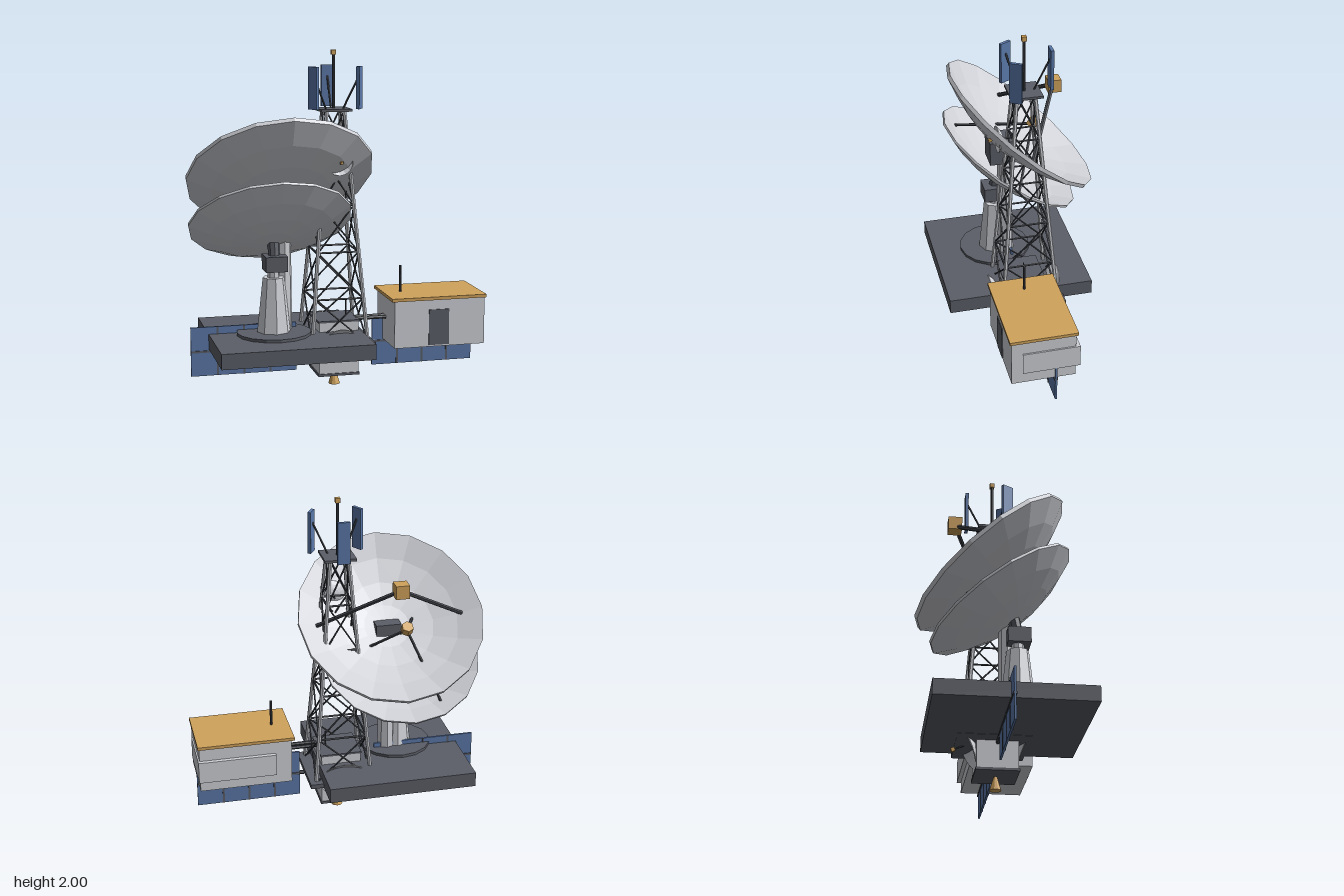
import * as THREE from 'three';

const material = (name, color) => {
  const m = new THREE.MeshStandardMaterial({ color });
  m.name = name;
  return m;
};

export function createModel() {
  const model = new THREE.Group();
  model.name = 'communicationsStation';
  const white = material('pale grey paint', 0xd0d2d8);
  const dark = material('dark grey metal', 0x5b5e67);
  const steel = material('strut steel', 0x44474e);
  const gold = material('gold', 0xd0a35c);
  const blue = material('panel blue', 0x5a78a8);
  const V = (x, y, z) => new THREE.Vector3(x, y, z);

  // Faceted mesh helper
  const add = (name, geo, mat, parent = model) => {
    const g = geo.index ? geo.toNonIndexed() : geo;
    g.computeVertexNormals();
    const mesh = new THREE.Mesh(g, mat);
    mesh.name = name;
    parent.add(mesh);
    return mesh;
  };
  // Box from its minimum and maximum on each axis
  const box = (name, x0, x1, y0, y1, z0, z1, mat, parent) => {
    const mesh = add(name, new THREE.BoxGeometry(x1 - x0, y1 - y0, z1 - z0), mat, parent);
    mesh.position.set((x0 + x1) / 2, (y0 + y1) / 2, (z0 + z1) / 2);
    return mesh;
  };
  // Round bar between two points
  const bar = (name, a, b, r, mat, parent, sides = 6) => {
    const d = b.clone().sub(a);
    const mesh = add(name, new THREE.CylinderGeometry(r, r, d.length(), sides), mat, parent);
    mesh.position.copy(a).add(b).multiplyScalar(0.5);
    mesh.quaternion.setFromUnitVectors(V(0, 1, 0), d.normalize());
    return mesh;
  };
  const post = (name, x, z, y0, y1, rBottom, rTop, sides, mat) => {
    const mesh = add(name, new THREE.CylinderGeometry(rTop, rBottom, y1 - y0, sides), mat);
    mesh.position.set(x, (y0 + y1) / 2, z);
    return mesh;
  };
  // Parabolic bowl, rim centre at the origin, opening along its own +y
  const dish = (name, R, depth, thick, sides, tilt, x, y, z) => {
    const g = new THREE.Group();
    g.name = name;
    const n = 4, pts = [];
    const curve = (r) => depth * ((r / R) ** 2 - 1);
    for (let i = 0; i <= n; i++) pts.push(new THREE.Vector2(R * i / n, curve(R * i / n) - thick));
    for (let i = n; i >= 0; i--) pts.push(new THREE.Vector2(R * i / n, curve(R * i / n)));
    add(name + 'Bowl', new THREE.LatheGeometry(pts, sides), white, g);
    g.rotation.x = tilt;
    g.position.set(x, y, z);
    model.add(g);
    g.userData.curve = curve;
    return g;
  };
  const feedArms = (g, R, angles, height, r) => {
    for (const a of angles) {
      const e = R * 0.79;
      bar('feedArm', V(0, height, 0), V(e * Math.cos(a), g.userData.curve(e), e * Math.sin(a)), r, steel, g);
    }
  };

  // Foundation slab
  box('foundationSlab', -0.76, 0.133, 0.26, 0.35, -0.4, 0.49, dark);
  box('towerBasePlate', -0.21, 0.21, 0.258, 0.285, -0.215, 0.205, dark);

  // Upper large dish with cube feed
  const upper = dish('upperDish', 0.557, 0.16, 0.025, 16, -0.71, -0.312, 1.28, -0.057);
  feedArms(upper, 0.557, [0, Math.PI], 0.3, 0.013);
  const cube = add('upperFeed', new THREE.BoxGeometry(0.08, 0.08, 0.08), gold, upper);
  cube.position.y = 0.305;
  cube.rotation.x = 0.71;
  post('upperDishColumn', -0.315, 0.047, 0.35, 1.06, 0.052, 0.045, 8, white);
  box('upperDishMount', -0.39, -0.237, 1.04, 1.19, -0.005, 0.15, dark);

  // Lower large dish with hexagonal feed on a tripod
  const lower = dish('lowerDish', 0.485, 0.14, 0.015, 16, -0.615, -0.382, 1.01, 0);
  feedArms(lower, 0.485, [0, 2 * Math.PI / 3, 4 * Math.PI / 3], 0.25, 0.009);
  add('lowerFeed', new THREE.CylinderGeometry(0.036, 0.036, 0.05, 6), gold, lower).position.y = 0.26;
  post('pedestalDisc', -0.385, 0.1, 0.35, 0.367, 0.22, 0.22, 16, dark);
  post('pedestal', -0.385, 0.1, 0.36, 0.69, 0.1, 0.064, 8, white);
  post('pedestalNeck', -0.385, 0.1, 0.68, 0.75, 0.035, 0.035, 8, white);
  box('lowerDishMount', -0.442, -0.312, 0.73, 0.82, 0.04, 0.172, dark);
  bar('mountLink', V(-0.38, 0.79, 0.1), V(-0.38, 0.89, 0.08), 0.035, dark, model, 8);

  // Lattice tower
  const tower = new THREE.Group();
  tower.name = 'latticeTower';
  model.add(tower);
  const y0 = 0.27, y1 = 1.65, bays = 5;
  const corner = (i, y) => {
    const s = 0.17 - 0.117 * (y - y0) / (y1 - y0);
    return V([1, 1, -1, -1][i % 4] * s, y, [1, -1, -1, 1][i % 4] * s);
  };
  for (let i = 0; i < 4; i++) {
    bar('towerLeg', corner(i, y0), corner(i, y1), 0.012, white, tower);
    for (let b = 0; b < bays; b++) {
      const lo = y0 + (y1 - y0) * b / bays, hi = y0 + (y1 - y0) * (b + 1) / bays;
      bar('towerBrace', corner(i, lo), corner(i + 1, hi), 0.005, steel, tower);
      bar('towerBrace', corner(i + 1, lo), corner(i, hi), 0.005, steel, tower);
      bar('towerRail', corner(i, hi), corner(i + 1, hi), 0.006, steel, tower);
    }
  }
  box('towerPlatform', -0.093, 0.093, 1.645, 1.66, -0.093, 0.093, dark);
  post('mast', 0, 0, 1.66, 1.975, 0.009, 0.009, 8, steel);
  box('mastBeacon', -0.014, 0.014, 1.972, 2, -0.014, 0.014, gold);

  // Three sector antennas around the mast
  for (let i = 0; i < 3; i++) {
    const g = new THREE.Group();
    g.name = 'sectorAntenna';
    g.rotation.y = Math.PI + i * 2 * Math.PI / 3;
    box('antennaPanel', -0.036, 0.036, 1.66, 1.907, 0.148, 0.167, blue, g);
    bar('antennaStrut', V(0, 1.66, 0.06), V(0, 1.84, 0.15), 0.006, steel, g);
    model.add(g);
  }

  // Small dish on the tower
  dish('towerDish', 0.08, 0.035, 0.005, 14, Math.PI / 2, 0, 1.36, 0.162);
  bar('towerDishBracket', V(0, 1.36, 0.07), V(0, 1.36, 0.195), 0.006, steel);
  box('towerDishFeed', -0.008, 0.008, 1.352, 1.368, 0.19, 0.212, gold);

  // Satellite body under the slab
  box('satelliteBody', -0.12, 0.12, 0.09, 0.41, -0.1, 0.14, white);
  box('satelliteBottomPlate', -0.126, 0.126, 0.08, 0.095, -0.106, 0.146, dark);
  box('satelliteTopPlate', -0.126, 0.126, 0.405, 0.416, -0.106, 0.146, dark);
  post('thruster', 0, 0.02, 0, 0.082, 0.035, 0.01, 10, gold);
  post('whipAntenna', 0.072, 0.02, 0.41, 0.515, 0.004, 0.004, 6, steel);
  const back = dish('satelliteDish', 0.145, 0.05, 0.006, 16, -2.0, 0, 0.265, -0.155);
  bar('satelliteFeedArm', V(0, -0.05, 0), V(0, 0.07, 0), 0.005, steel, back);
  add('satelliteFeed', new THREE.BoxGeometry(0.022, 0.022, 0.022), gold, back).position.y = 0.075;
  dish('frontSatelliteDish', 0.1, 0.035, 0.005, 16, 1.9, 0, 0.285, 0.19);

  // Solar wings
  for (const s of [-1, 1]) {
    const wing = new THREE.Group();
    wing.name = 'solarWing';
    wing.position.set(s * 0.55, 0.247, 0.02);
    box('solarPanel', -0.316, 0.316, -0.147, 0.147, -0.006, 0.006, blue, wing);
    box('wingSpar', -0.316, 0.316, -0.006, 0.006, -0.011, 0.011, dark, wing);
    for (const x of [-0.158, 0, 0.158]) box('wingRib', x - 0.006, x + 0.006, -0.147, 0.147, -0.009, 0.009, dark, wing);
    model.add(wing);
    bar('wingBoom', V(s * 0.11, 0.247, 0.02), V(s * 0.25, 0.247, 0.02), 0.012, steel);
  }

  // Equipment cabin
  box('cabinWalls', 0.302, 0.858, 0.26, 0.547, -0.095, 0.28, white);
  box('cabinRoof', 0.285, 0.867, 0.542, 0.561, -0.108, 0.29, gold);
  box('cabinDoor', 0.512, 0.636, 0.27, 0.484, 0.277, 0.285, dark);
  box('cabinSideUnit', 0.4, 0.867, 0.328, 0.463, -0.12, 0.215, white);
  post('cabinAntenna', 0.391, 0.092, 0.56, 0.72, 0.008, 0.008, 8, steel);
  for (const z of [0.045, 0.09]) bar('cableConduit', V(0.115, 0.41, z), V(0.31, 0.41, z), 0.011, steel);

  return model;
}
